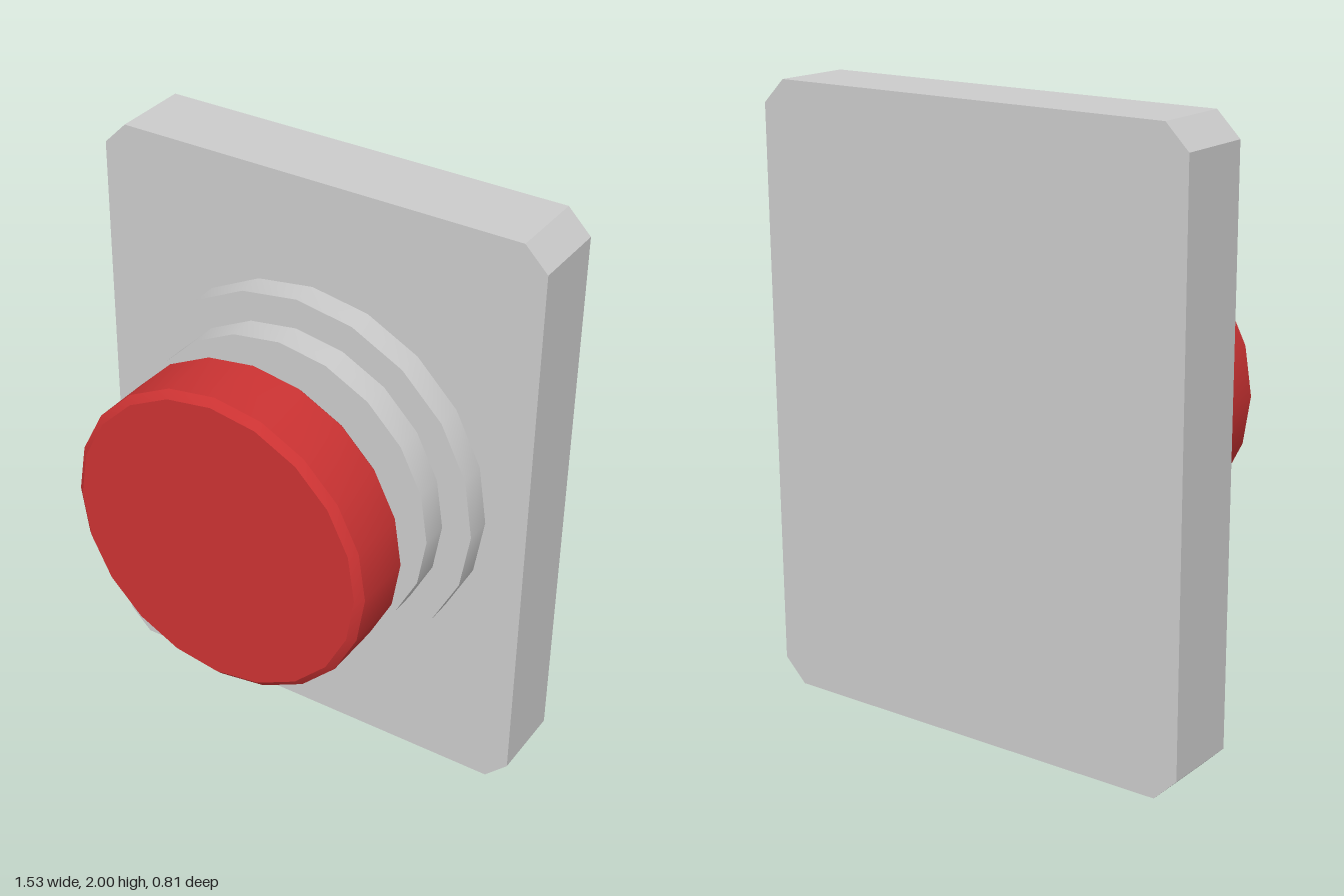
import * as THREE from 'three';
import { toCreasedNormals } from 'three/addons/utils/BufferGeometryUtils.js';

const SIDES = 20;
const CENTER_X = -0.005;
const CENTER_Y = 1.015;

// Round part turned about the z axis from [radius, z] points, back to front
function turned(name, profile, material) {
  const points = profile.map(([r, z]) => new THREE.Vector2(r, z));
  const lathe = new THREE.LatheGeometry(points, SIDES).rotateX(Math.PI / 2);
  const mesh = new THREE.Mesh(toCreasedNormals(lathe, 0.5), material);
  mesh.name = name;
  mesh.position.set(CENTER_X, CENTER_Y, 0);
  return mesh;
}

// Plain disc between two depths
const disc = (r, z0, z1) => [[0, z0], [r, z0], [r, z1], [0, z1]];

export function createModel() {
  const group = new THREE.Group();
  group.name = 'pushButton';
  const grey = new THREE.MeshStandardMaterial({ color: 0xcccccc });
  const red = new THREE.MeshStandardMaterial({ color: 0xcc3333 });

  // Wall plate with clipped corners
  const w = 0.765, h = 2, c = 0.077;
  const outline = new THREE.Shape([
    [-w + c, 0], [w - c, 0], [w, c], [w, h - c],
    [w - c, h], [-w + c, h], [-w, h - c], [-w, c],
  ].map(([x, y]) => new THREE.Vector2(x, y)));
  const plate = new THREE.Mesh(
    new THREE.ExtrudeGeometry(outline, { depth: 0.265, bevelEnabled: false }),
    grey,
  );
  plate.name = 'backPlate';
  plate.position.z = -0.405;
  group.add(plate);

  // Stepped collar
  group.add(turned('outerCollar', disc(0.63, -0.145, -0.05), grey));
  group.add(turned('innerCollar', disc(0.53, -0.055, 0.045), grey));

  // Button stem and chamfered cap
  group.add(turned('buttonStem', disc(0.365, 0.04, 0.17), red));
  group.add(turned('buttonCap', [
    [0, 0.165], [0.505, 0.165], [0.519, 0.18],
    [0.519, 0.383], [0.495, 0.405], [0, 0.405],
  ], red));

  return group;
}
